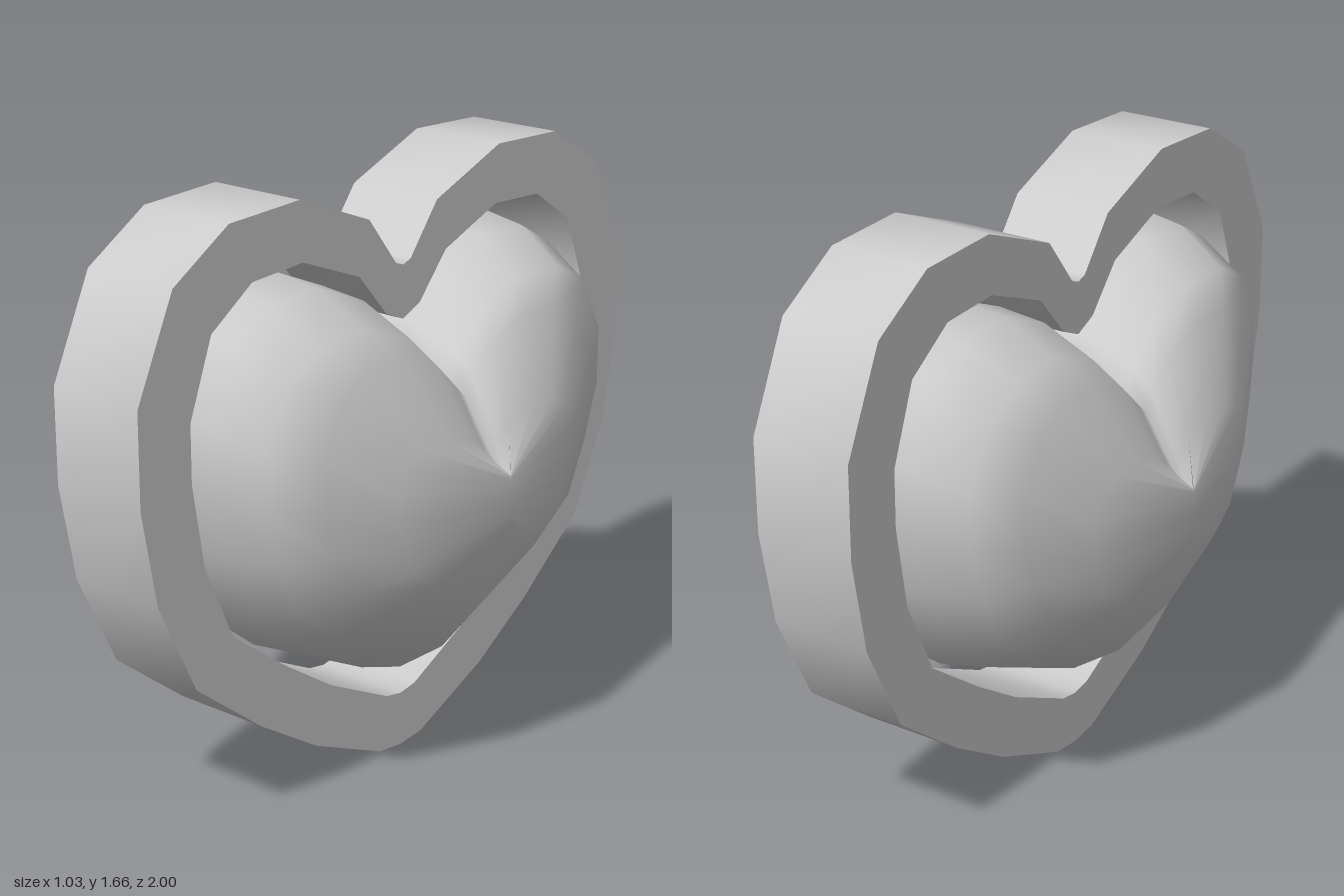
import * as THREE from 'three';
import { mergeVertices, toCreasedNormals } from 'three/addons/utils/BufferGeometryUtils.js';

const material = new THREE.MeshStandardMaterial({ color: 0xcccccc });

// Half outlines as [z, y], from the bottom tip up to the cleft
const OUTER = [[0.09, 0.01], [0.36, 0.13], [0.58, 0.27], [0.82, 0.46], [0.95, 0.73], [1, 1], [1, 1.26],
  [0.87, 1.535], [0.67, 1.655], [0.41, 1.665], [0.14, 1.56], [0.03, 1.42], [0, 1.41]];
const INNER = [[0, 0.16], [0.06, 0.17], [0.3, 0.29], [0.48, 0.41], [0.68, 0.56], [0.78, 0.78], [0.82, 1.02],
  [0.82, 1.18], [0.74, 1.39], [0.59, 1.49], [0.4, 1.5], [0.18, 1.415], [0.07, 1.29], [0, 1.26]];
const CORE = [[0, 0.195], [0.29, 0.34], [0.45, 0.42], [0.63, 0.565], [0.71, 0.77], [0.765, 0.96],
  [0.765, 1.16], [0.67, 1.355], [0.54, 1.43], [0.35, 1.44], [0.16, 1.36], [0.05, 1.25], [0, 1.2]];
OUTER.unshift([0, 0]);

// Closes a half outline by mirroring it across z = 0
function mirrored(half) {
  const other = half.slice(1, -1).reverse().map(([z, y]) => [-z, y]);
  return [...half, ...other];
}

const toVectors = (half) => mirrored(half).map(([z, y]) => new THREE.Vector2(z, y));

// Flat heart-shaped band with a heart-shaped opening
function frameGeometry() {
  const shape = new THREE.Shape(toVectors(OUTER));
  shape.holes.push(new THREE.Path(toVectors(INNER)));
  const depth = 0.29;
  const geometry = new THREE.ExtrudeGeometry(shape, { depth, bevelEnabled: false });
  geometry.translate(0, 0, -depth / 2).rotateY(Math.PI / 2);
  return toCreasedNormals(geometry, 0.8);
}

// Puffed heart: outline scaled per slice about a centre height
function coreGeometry() {
  const centre = 0.82;
  // x, width scale, scale above centre, scale below centre
  const half = [[0.14, 0.975, 0.97, 0.93], [0.29, 0.92, 0.83, 0.76], [0.36, 0.74, 0.7, 0.62],
    [0.445, 0.51, 0.34, 0.45], [0.515, 0, 0.13, 0.13]];
  const slices = [...half.map(([x, ...s]) => [-x, ...s]).reverse(), [0, 1, 1, 1], ...half];
  const outline = mirrored(CORE);
  const n = outline.length;
  const positions = [];
  const index = [];
  slices.forEach(([x, width, up, down], i) => {
    outline.forEach(([z, y], j) => {
      const dy = y - centre;
      positions.push(x, centre + dy * (dy > 0 ? up : down), z * width);
      if (i === slices.length - 1) return;
      const a = i * n + j;
      const b = i * n + (j + 1) % n;
      index.push(a, a + n, b, b, a + n, b + n);
    });
  });
  const raw = new THREE.BufferGeometry();
  raw.setAttribute('position', new THREE.Float32BufferAttribute(positions, 3));
  raw.setIndex(index);
  const geometry = mergeVertices(raw, 1e-4);
  geometry.computeVertexNormals();
  return geometry;
}

export function createModel() {
  const group = new THREE.Group();
  group.name = 'framedHeart';
  const add = (name, geometry) => {
    const mesh = new THREE.Mesh(geometry, material);
    mesh.name = name;
    group.add(mesh);
  };
  add('heartFrame', frameGeometry());
  add('heartCore', coreGeometry());
  return group;
}
